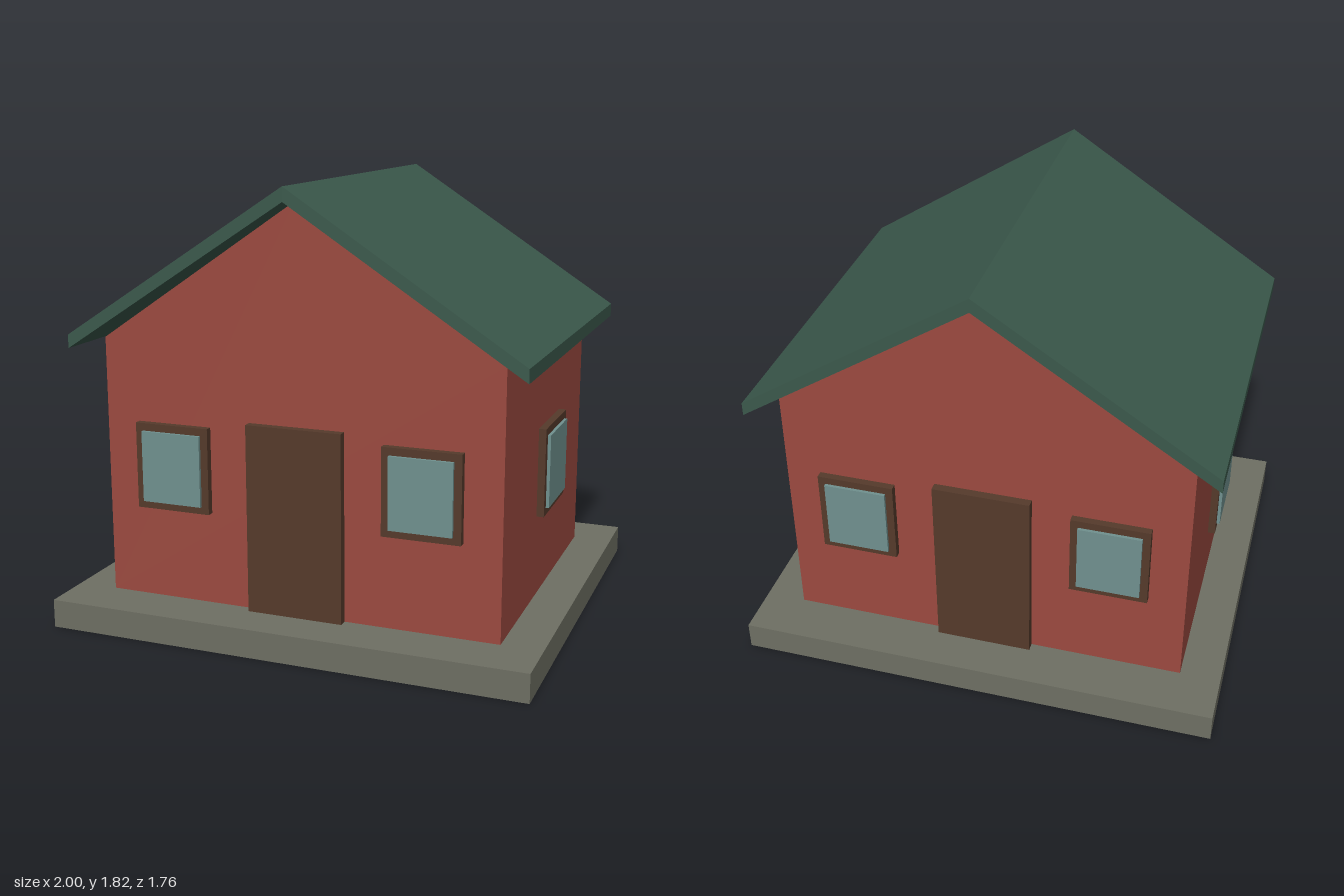
import * as THREE from 'three';

const material = (name, color) => {
  const m = new THREE.MeshStandardMaterial({ color });
  m.name = name;
  return m;
};

export function createModel() {
  const house = new THREE.Group();
  house.name = 'house';
  const brick = material('brickRed', 0x9c4a40);
  const green = material('roofGreen', 0x3b594c);
  const wood = material('darkWood', 0x553a2b);
  const glass = material('paleGlass', 0x70918f);
  const stone = material('stoneGrey', 0x6e6f63);

  const add = (parent, name, geometry, mat) => {
    const mesh = new THREE.Mesh(geometry, mat);
    mesh.name = name;
    parent.add(mesh);
    return mesh;
  };
  // Box given by its minimum and maximum corners
  const box = (parent, name, mat, a, b) => {
    const geometry = new THREE.BoxGeometry(b[0] - a[0], b[1] - a[1], b[2] - a[2]);
    geometry.translate((a[0] + b[0]) / 2, (a[1] + b[1]) / 2, (a[2] + b[2]) / 2);
    return add(parent, name, geometry, mat);
  };
  // Outline in x and y, extruded evenly to both sides of z = 0
  const prism = (name, mat, points, depth) => {
    const shape = new THREE.Shape(points.map(([x, y]) => new THREE.Vector2(x, y)));
    const geometry = new THREE.ExtrudeGeometry(shape, { depth, bevelEnabled: false });
    return add(house, name, geometry.translate(0, 0, -depth / 2), mat);
  };

  // Foundation slab and gabled body
  box(house, 'foundation', stone, [-1, 0, -0.88], [1, 0.117, 0.88]);
  prism('walls', brick,
    [[-0.833, 0.117], [0.833, 0.117], [0.833, 1.19], [0, 1.755], [-0.833, 1.19]], 1.338);

  // Roof with vertically cut eaves
  prism('roof', green,
    [[-0.94, 1.155], [0, 1.763], [0.94, 1.155], [0.94, 1.21], [0, 1.82], [-0.94, 1.21]], 1.55);

  // Window facing +z: a solid frame with a raised pane
  const addWindow = (parent, x, y, z, halfWidth, halfHeight) => {
    const unit = new THREE.Group();
    unit.name = 'window';
    box(unit, 'windowFrame', wood, [-halfWidth, -halfHeight, 0], [halfWidth, halfHeight, 0.03]);
    const w = halfWidth - 0.031, h = halfHeight - 0.031;
    box(unit, 'windowPane', glass, [-w, -h, 0.02], [w, h, 0.043]);
    unit.position.set(x, y, z);
    parent.add(unit);
  };

  // Front and back carry a door and two windows; each side has one window
  for (const [i, label] of ['front', 'back'].entries()) {
    const face = new THREE.Group();
    face.name = label + 'Openings';
    box(face, 'door', wood, [-0.2, 0.117, 0.66], [0.2, 0.888, 0.705]);
    for (const x of [-0.524, 0.524]) addWindow(face, x, 0.68, 0.68, 0.159, 0.177);
    face.rotation.y = i * Math.PI;
    house.add(face);
  }
  for (const [label, side] of [['left', 1], ['right', -1]]) {
    const face = new THREE.Group();
    face.name = label + 'Openings';
    addWindow(face, 0, 0.66, 0.844, 0.182, 0.183);
    face.rotation.y = side * Math.PI / 2;
    house.add(face);
  }
  return house;
}
